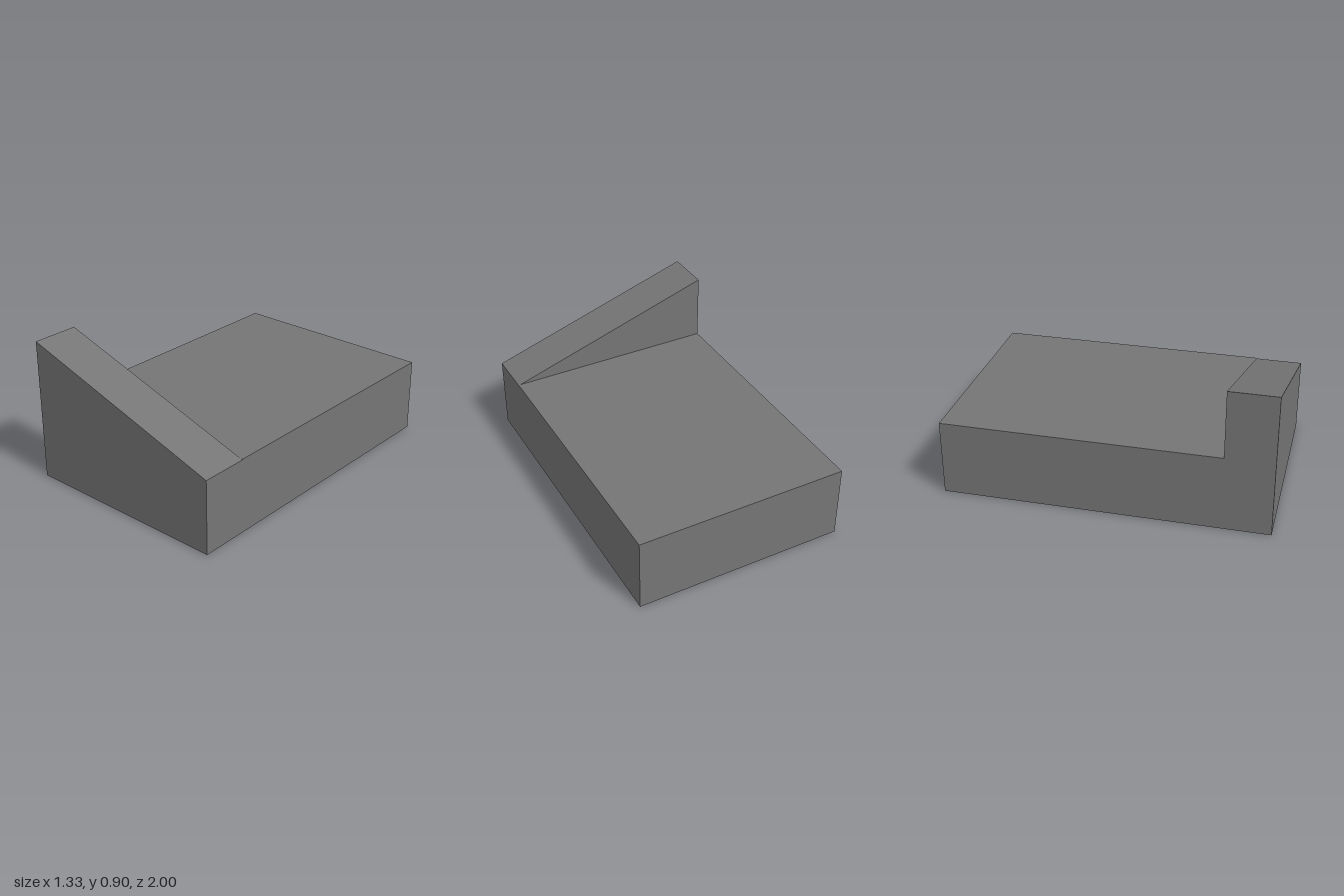
import * as THREE from 'three';

export function createModel() {
  const model = new THREE.Group();
  model.name = 'slopedBlock';

  const grey = new THREE.MeshStandardMaterial({ color: 0x757575 });
  grey.name = 'grey';
  const brown = new THREE.MeshStandardMaterial({ color: 0x503208 });
  brown.name = 'brown';

  const W = 0.665, ridgeBack = 0.705;

  // Extrudes an x-y outline from zBack to zFront
  function prism(name, points, zBack, zFront, material) {
    const shape = new THREE.Shape(points.map(([x, y]) => new THREE.Vector2(x, y)));
    const geometry = new THREE.ExtrudeGeometry(shape, { depth: zFront - zBack, bevelEnabled: false });
    geometry.translate(0, 0, zBack);
    const mesh = new THREE.Mesh(geometry, material);
    mesh.name = name;
    model.add(mesh);
  }

  // Long flat base behind the front wall
  prism('base', [[-W, 0], [W, 0], [W, 0.472], [-W, 0.472]], -1, ridgeBack, grey);

  // Front wall with a sloping top
  prism('slopedFrontWall', [[-W, 0], [W, 0], [W, 0.468], [-W, 0.895]], ridgeBack, 1, grey);

  // Slanted bar set inside the wall, showing at the underside
  prism('slantedBar', [[0.39, -0.001], [0.49, -0.001], [-0.42, 0.43], [-0.52, 0.43]], 0.71, 0.999, brown);

  return model;
}
